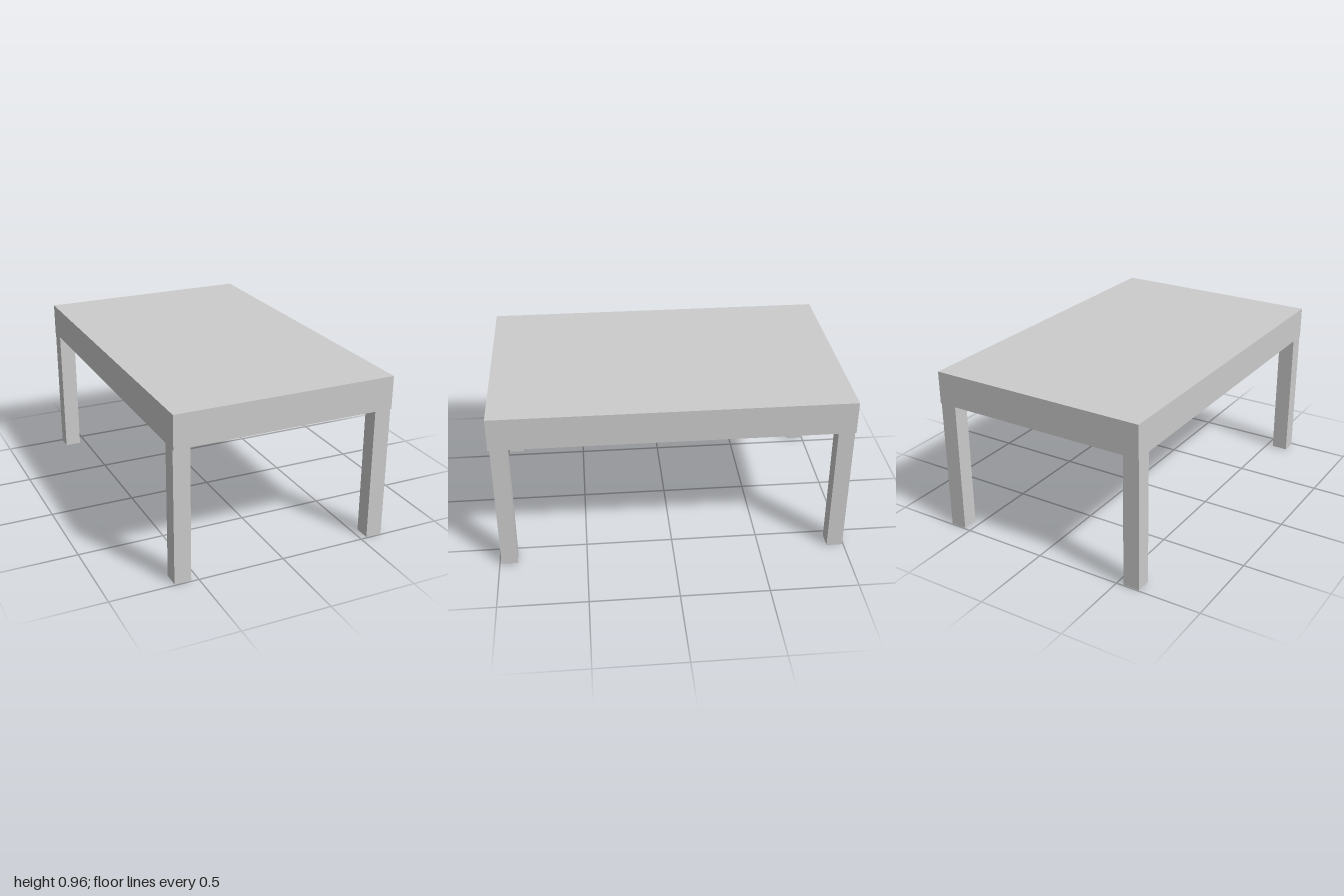
import * as THREE from 'three';

const WIDTH = 1.27, LENGTH = 2, HEIGHT = 0.96, LEG_HEIGHT = 0.772;
const LEG_X = 0.095, LEG_Z = 0.092;

export function createModel() {
  const table = new THREE.Group();
  table.name = 'table';
  const material = new THREE.MeshStandardMaterial({ color: 0xcccccc });

  const addBox = (name, size, position) => {
    const mesh = new THREE.Mesh(new THREE.BoxGeometry(...size), material);
    mesh.name = name;
    mesh.position.set(...position);
    table.add(mesh);
  };

  // Thick solid top
  addBox('tabletop', [WIDTH, HEIGHT - LEG_HEIGHT, LENGTH], [0, (HEIGHT + LEG_HEIGHT) / 2, 0]);

  // Corner legs: flush with the long sides, slightly inset at the ends
  for (const [sideName, sx] of [['Left', 1], ['Right', -1]]) {
    for (const [endName, sz, inset] of [['front', 1, 0.01], ['back', -1, 0.007]]) {
      addBox(`${endName}${sideName}Leg`, [LEG_X, LEG_HEIGHT, LEG_Z], [
        sx * (WIDTH - LEG_X) / 2,
        LEG_HEIGHT / 2,
        sz * (LENGTH / 2 - inset - LEG_Z / 2),
      ]);
    }
  }
  return table;
}
